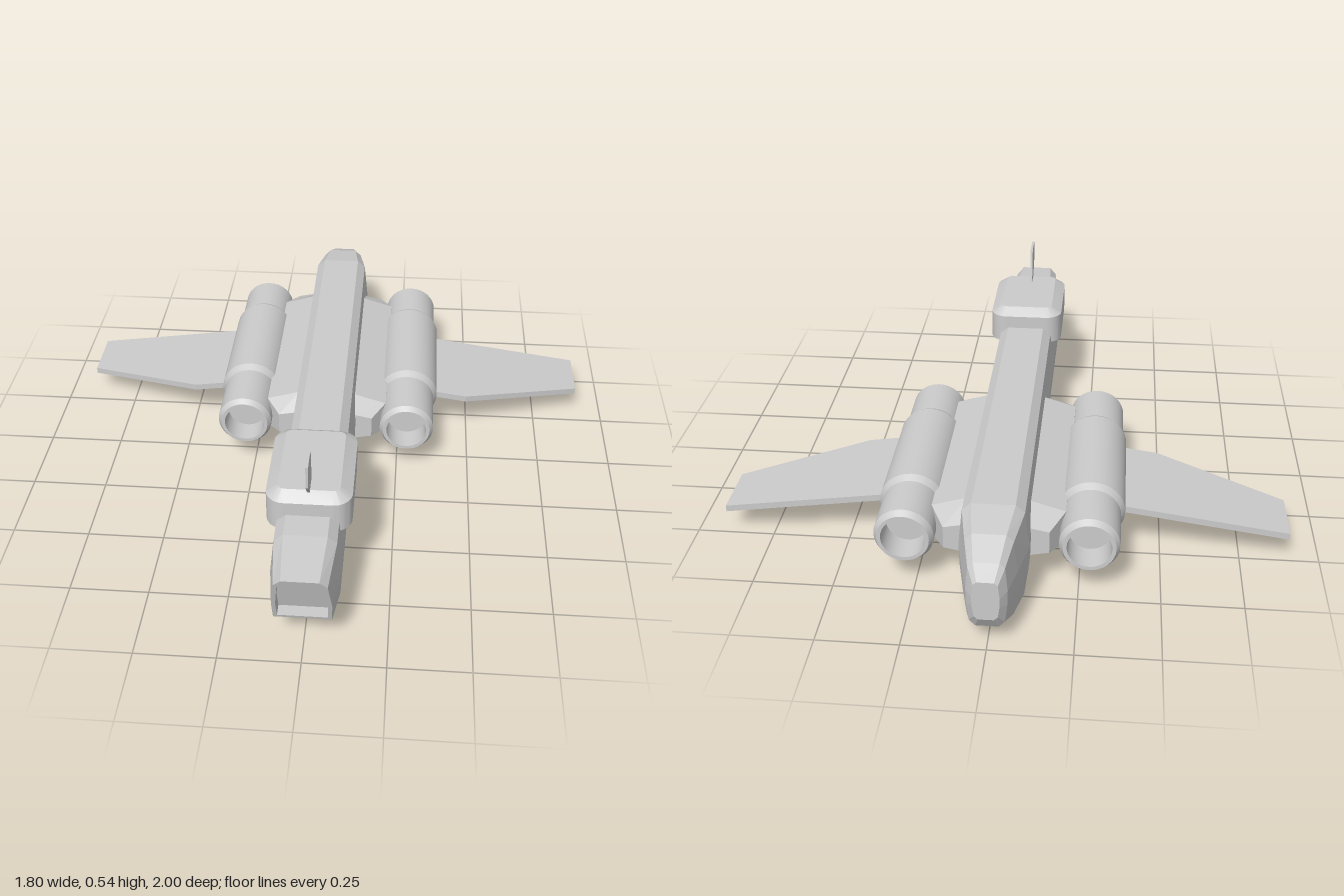
import * as THREE from 'three';
import { toCreasedNormals } from 'three/addons/utils/BufferGeometryUtils.js';

const flat = new THREE.MeshStandardMaterial({ color: 0xcccccc, flatShading: true });
const smooth = new THREE.MeshStandardMaterial({ color: 0xcccccc });

function add(parent, name, geometry, material = flat) {
  const mesh = new THREE.Mesh(geometry, material);
  mesh.name = name;
  parent.add(mesh);
  return mesh;
}

// Mirror a half outline [x, y] (top to bottom) into a closed ring; z is a number or a rule of y
function ring(half, z) {
  const at = typeof z === 'function' ? z : () => z;
  const all = [...half, ...half.map(([x, y]) => [-x, y]).reverse()];
  return all.map(([x, y]) => new THREE.Vector3(x, y, at(y)));
}

// Shrink a half outline about its own middle height
function inset(half, sx, sy) {
  const mid = (half[0][1] + half[half.length - 1][1]) / 2;
  return half.map(([x, y]) => [x * sx, mid + (y - mid) * sy]);
}

// Skin a list of rings running from front to back and cap both ends
function loft(rings) {
  const pos = [];
  const tri = (...pts) => pts.forEach((p) => pos.push(p.x, p.y, p.z));
  const n = rings[0].length;
  const centre = (r) => r.reduce((s, p) => s.add(p), new THREE.Vector3()).divideScalar(n);
  const first = rings[0], last = rings[rings.length - 1];
  const c0 = centre(first), c1 = centre(last);
  for (let j = 0; j < n; j++) {
    const k = (j + 1) % n;
    for (let i = 0; i < rings.length - 1; i++) {
      const a = rings[i], b = rings[i + 1];
      tri(a[j], a[k], b[k]);
      tri(a[j], b[k], b[j]);
    }
    tri(c0, first[k], first[j]);
    tri(c1, last[j], last[k]);
  }
  const g = new THREE.BufferGeometry();
  g.setAttribute('position', new THREE.Float32BufferAttribute(pos, 3));
  g.computeVertexNormals();
  return g;
}

// Rings for an end with a thin frame around a sunken panel
function framedEnd(half, z, depth) {
  const inner = inset(half, 0.86, 0.9);
  return [ring(inner, (y) => z(y) - depth), ring(inner, z), ring(half, z)];
}

// Hull outlines
const hullHalf = (w, top, bot) => {
  const h = top - bot;
  return [[0.62 * w, top], [0.88 * w, top - 0.07 * h], [w, bot + 0.58 * h],
    [0.98 * w, bot + 0.36 * h], [0.86 * w, bot + 0.085 * h], [0.57 * w, bot]];
};
const noseHalf = (w, top) =>
  [[0.62 * w, top], [0.88 * w, top - 0.024], [w, 0.2], [0.98 * w, 0.125]];

function extrude(points, depth) {
  const shape = new THREE.Shape(points.map(([x, y]) => new THREE.Vector2(x, y)));
  return new THREE.ExtrudeGeometry(shape, { depth, bevelEnabled: false });
}

export function createModel() {
  const model = new THREE.Group();
  model.name = 'spacecraft';

  // Main hull: raked step at the front, tapered and rounded tail
  const step = (y) => 0.55 - Math.max(0, 0.125 - y) * 0.48;
  add(model, 'hull', loft([
    ...framedEnd(hullHalf(0.105, 0.345, 0), step, 0.03),
    ring(hullHalf(0.105, 0.345, 0), -0.77),
    ring(hullHalf(0.08, 0.325, 0.02), -0.89),
    ring(hullHalf(0.06, 0.287, 0.065), -0.972),
    ring(hullHalf(0.04, 0.24, 0.11), -1),
  ]));

  // Nose: overhanging front with raked, sunken face
  const rake = (y) => 1 - (0.325 - y) * 0.3;
  add(model, 'nose', loft([
    ...framedEnd(noseHalf(0.088, 0.328), rake, 0.04),
    ring(noseHalf(0.105, 0.345), 0.83),
    ring(noseHalf(0.105, 0.345), 0.515),
  ]));

  // Bevelled cabin on top of the nose
  const [hw, hl, r] = [0.093, 0.142, 0.022];
  const plan = new THREE.Shape();
  plan.absarc(hw - r, hl - r, r, 0, Math.PI / 2);
  plan.absarc(-hw + r, hl - r, r, Math.PI / 2, Math.PI);
  plan.absarc(-hw + r, -hl + r, r, Math.PI, Math.PI * 1.5);
  plan.absarc(hw - r, -hl + r, r, Math.PI * 1.5, Math.PI * 2);
  const cabin = new THREE.ExtrudeGeometry(plan, {
    depth: 0.1, bevelSize: 0.036, bevelThickness: 0.025, bevelSegments: 1, curveSegments: 5,
  });
  cabin.rotateX(-Math.PI / 2).translate(0, 0.29, 0.567);
  add(model, 'cabin', toCreasedNormals(cabin, 0.45), smooth);

  // Thin fin: outline in (z, y), turned upright
  const fin = extrude([[-0.65, 0.405], [-0.71, 0.405], [-0.762, 0.465], [-0.762, 0.54], [-0.677, 0.54]], 0.008);
  fin.rotateY(Math.PI / 2).translate(-0.004, 0, 0);
  add(model, 'fin', fin);

  // Engine mounts: one chamfered block passing through the hull
  const mount = [[0.095, 0.265], [0.205, 0.232], [0.205, 0.12], [0.095, 0.09]];
  const mountEnd = [[0.095, 0.225], [0.16, 0.212], [0.16, 0.138], [0.095, 0.125]];
  add(model, 'engineMounts', loft([
    ring(mountEnd, 0.08), ring(mount, 0.015), ring(mount, -0.625), ring(mountEnd, -0.71),
  ]));

  // Engine profile (radius, z) with a recess at each end
  const profile = [[0, -0.64], [0.066, -0.64], [0.068, -0.728], [0.08, -0.728], [0.092, -0.708],
    [0.092, -0.553], [0.104, -0.53], [0.104, -0.125], [0.092, -0.1],
    [0.092, 0.072], [0.08, 0.09], [0.068, 0.09], [0.066, 0.01], [0, 0.01]];
  const wingPlan = [[0.3, 0.148], [0.49, 0.148], [0.9, 0.31], [0.9, 0.497], [0.3, 0.497]];

  for (const [side, s] of [['left', 1], ['right', -1]]) {
    const engine = new THREE.LatheGeometry(profile.map(([x, y]) => new THREE.Vector2(x, y)), 32);
    engine.rotateX(Math.PI / 2).translate(0.28 * s, 0.175, 0);
    add(model, side + 'Engine', toCreasedNormals(engine, 0.35), smooth);

    // Wing: flat plate sheared downward towards the tip
    const wing = extrude(wingPlan.map(([x, y]) => [x * s, y]), 0.022);
    wing.rotateX(-Math.PI / 2);
    const p = wing.attributes.position;
    for (let i = 0; i < p.count; i++) {
      p.setY(i, p.getY(i) + 0.152 - 0.142 * (Math.abs(p.getX(i)) - 0.38));
    }
    wing.computeVertexNormals();
    add(model, side + 'Wing', wing);
  }
  return model;
}
